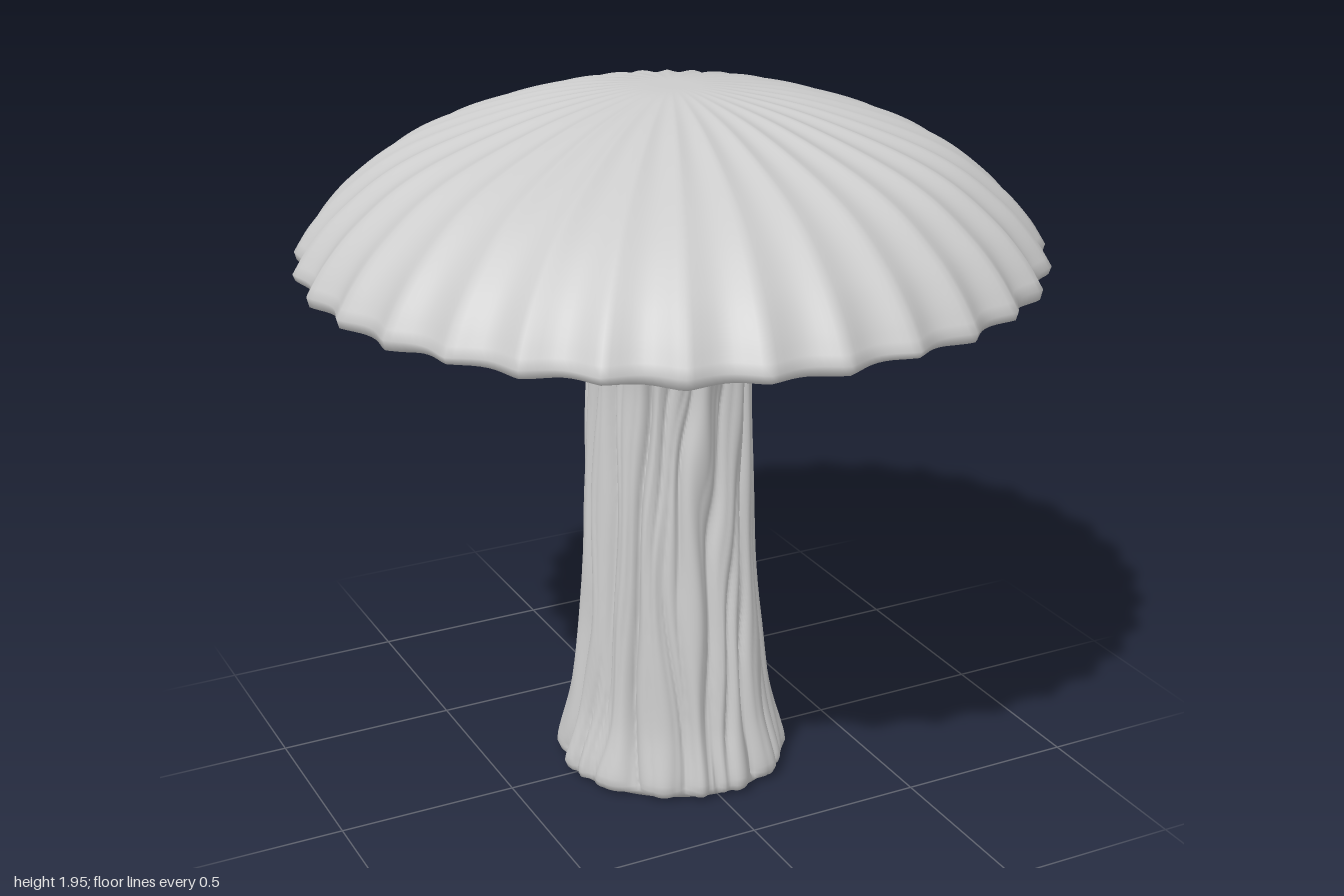
import * as THREE from 'three';
import { mergeVertices } from 'three/addons/utils/BufferGeometryUtils.js';

const { smoothstep } = THREE.MathUtils;
const { sin, abs, pow, PI } = Math;
const grey = new THREE.MeshStandardMaterial({ color: 0xcccccc, side: THREE.DoubleSide });

// smooth profile through a few [radius, height] points
const smooth = (pts, n) =>
  new THREE.SplineCurve(pts.map(([r, y]) => new THREE.Vector2(r, y))).getSpacedPoints(n);

// lathe whose vertices are moved by a rule: rule(angle, r, y, profile tangent) -> [dr, dy]
function carvedLathe(name, profile, segments, rule) {
  const geo = new THREE.LatheGeometry(profile, segments);
  const pos = geo.attributes.position, n = profile.length;
  for (let i = 0; i < pos.count; i++) {
    const j = i % n, a = (Math.floor(i / n) / segments) * PI * 2;
    const p = profile[j];
    const t = profile[Math.min(j + 1, n - 1)].clone().sub(profile[Math.max(j - 1, 0)]).normalize();
    const [dr, dy] = rule(a, p.x, p.y, t);
    const r = Math.max(0, p.x + dr);
    pos.setXYZ(i, r * sin(a), Math.max(0, p.y + dy), r * Math.cos(a));
  }
  geo.deleteAttribute('uv');
  geo.deleteAttribute('normal');
  const welded = mergeVertices(geo, 1e-5);
  welded.computeVertexNormals();
  const mesh = new THREE.Mesh(welded, grey);
  mesh.name = name;
  return mesh;
}

// scalloped cap: hollow underside, rolled rim, ribbed dome
function makeCap() {
  const profile = [
    ...smooth([[0, 1.76], [0.4, 1.74], [0.68, 1.68], [0.82, 1.59], [0.89, 1.5]], 14),
    ...smooth([[0.91, 1.482], [0.97, 1.482], [0.998, 1.5], [0.988, 1.525], [0.945, 1.59],
      [0.87, 1.67], [0.745, 1.765], [0.59, 1.837], [0.36, 1.908], [0.14, 1.945], [0, 1.95]], 46),
  ];
  return carvedLathe('cap', profile, 320, (a, r, y, t) => {
    const groove = pow(abs(sin(16 * (a + 0.04))), 1.25);
    const inside = t.x > 0 && r < 0.95;
    const scallop = inside ? 0.01 : 0.017 + 0.016 * smoothstep(r, 0.75, 0.98);
    const wave = r > 0.9 && y < 1.5 ? 0.006 * sin(11 * a) * sin(5 * a + 1) : 0;
    const dip = inside ? 0 : 0.008 * smoothstep(r, 0.06, 0.5) * (1 - smoothstep(r, 0.75, 0.95));
    return [-scallop * groove * r, wave - dip * groove];
  });
}

// fibrous stem that flares into gills reaching the rim of the cap
function makeStem() {
  const profile = [
    ...smooth([[0, 0], [0.15, 0], [0.285, 0]], 4),
    ...smooth([[0.295, 0.008], [0.313, 0.04], [0.278, 0.2], [0.258, 0.4], [0.242, 0.6], [0.229, 0.8],
      [0.217, 1.0], [0.211, 1.18], [0.23, 1.29], [0.285, 1.39], [0.4, 1.485], [0.56, 1.555],
      [0.73, 1.585], [0.83, 1.56], [0.89, 1.515]], 120),
  ];
  return carvedLathe('stem', profile, 288, (a, r, y, t) => {
    const flare = smoothstep(r, 0.26, 0.6) * smoothstep(y, 1.2, 1.4);
    // wandering angle makes the fibres twist, split and merge
    const b = a - 0.2 * y + 0.1 * sin(2 * a + 3.1 * y) + 0.06 * sin(5 * a - 4.3 * y + 1)
      + 0.022 * sin(9 * a + 11 * y) + flare * 0.05 * sin(19 * r + 4 * a);
    const fibre = (k, s) => pow(abs(sin(k * b + s)), 0.65) - 0.7;
    const mix = 0.5 + 0.5 * sin(3 * a + 2.6 * y);
    const coarse = fibre(7, 0.6 * sin(2 * y)) * (1 - 0.6 * mix) + fibre(11, 1.3) * mix * 0.8;
    const gills = fibre(17, 0.5 * sin(14 * r + 3 * a));
    const lumps = sin(21 * r + 5 * a) * sin(8 * a - 13 * r);
    const base = smoothstep(y, 0, 0.03);
    const fade = 1 - 0.75 * smoothstep(r, 0.78, 0.89);
    const d = base * ((1 - flare) * (0.036 * coarse + 0.005 * gills)
      + flare * fade * (0.085 * gills + 0.025 * lumps));
    // slight irregularity of the whole trunk
    const sway = (1 - flare) * (0.006 * sin(3 * a + 1.5 * y) + 0.006 * sin(2 * a + 5 * y));
    return [t.y * d + (r > 0.1 ? sway : 0), y > 0 ? -t.x * d : 0];
  });
}

export function createModel() {
  const group = new THREE.Group();
  group.name = 'mushroom';
  group.add(makeCap(), makeStem());
  return group;
}
